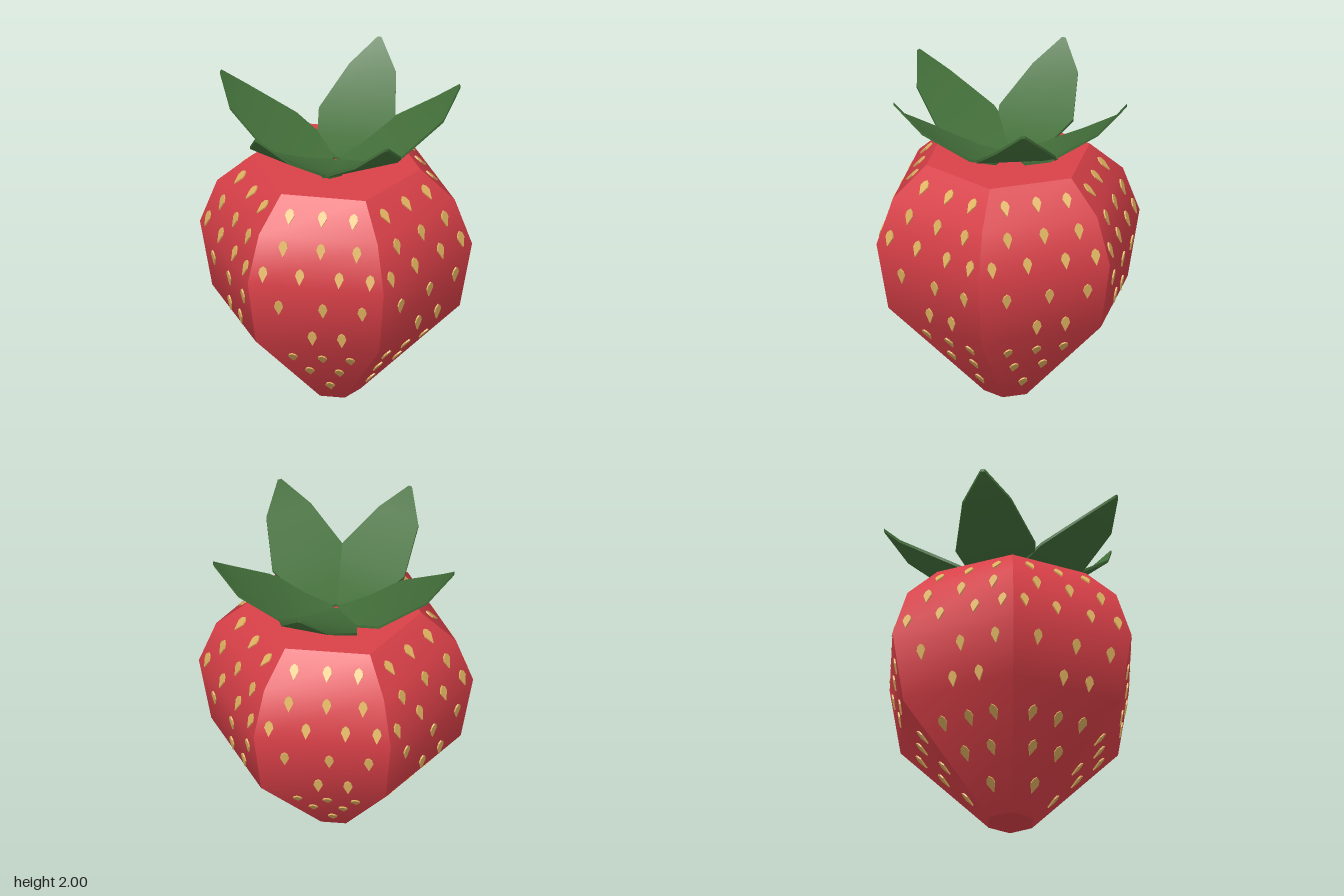
import * as THREE from 'three';

const red = new THREE.MeshStandardMaterial({ name: 'berry red', color: 0xd94048 });
const gold = new THREE.MeshStandardMaterial({ name: 'seed gold', color: 0xdfb260 });
const green = new THREE.MeshStandardMaterial({ name: 'leaf green', color: 0x436f3a });

// Berry profile: [corner radius, height]; the berry is a hexagon in plan
const PROFILE = [[0.15, 0], [0.755, 0.63], [0.83, 1.06], [0.725, 1.35], [0.515, 1.54]];
const APOTHEM = Math.cos(Math.PI / 6);

// Seed rows on each side: height, then positions across the side
const SEED_ROWS = [
  [1.44, [-0.19, 0.01, 0.2]],
  [1.28, [-0.21, 0.02, 0.24]],
  [1.12, [-0.325, -0.1, 0.14, 0.33]],
  [0.9, [-0.23, 0.04, 0.28]],
  [0.69, [-0.03, 0.15]],
  [0.48, [-0.17, 0.01, 0.18]],
  [0.32, [-0.09, 0.09]],
  [0.15, [0.01]],
];

// Leaf stations: [distance from centre, half width, height of underside]
const LEAF = [
  [0.018, 0.014, 1.54], [0.17, 0.185, 1.575], [0.36, 0.245, 1.655],
  [0.63, 0.15, 1.835], [0.752, 0.012, 1.985],
];
const LEAF_ANGLES = [180, 107.3, 19.5, -42, -116.6];

function add(parent, name, geometry, material) {
  const mesh = new THREE.Mesh(geometry, material);
  mesh.name = name;
  parent.add(mesh);
  return mesh;
}

// One side of the berry: smooth up the profile, sharp at its borders
function sideGeometry() {
  const positions = [], index = [];
  PROFILE.forEach(([r, y], i) => {
    positions.push(-r / 2, y, r * APOTHEM, r / 2, y, r * APOTHEM);
    const a = i * 2;
    if (i < PROFILE.length - 1) index.push(a, a + 1, a + 3, a, a + 3, a + 2);
  });
  const g = new THREE.BufferGeometry();
  g.setAttribute('position', new THREE.Float32BufferAttribute(positions, 3));
  g.setIndex(index);
  g.computeVertexNormals();
  return g;
}

// Thin pointed seed plate
function seedGeometry() {
  const outline = [[0, 0.052], [-0.02, 0.036], [-0.028, 0.008], [0, -0.052], [0.028, 0.008], [0.02, 0.036]];
  const shape = new THREE.Shape(outline.map(([x, y]) => new THREE.Vector2(x, y)));
  return new THREE.ExtrudeGeometry(shape, { depth: 0.009, bevelEnabled: false });
}

// A box bent through the leaf stations
function leafGeometry() {
  const n = LEAF.length - 1;
  const g = new THREE.BoxGeometry(2, 1, 1, 2, 1, n);
  const p = g.attributes.position;
  for (let i = 0; i < p.count; i++) {
    const [along, half, y] = LEAF[Math.round((p.getZ(i) + 0.5) * n)];
    p.setXYZ(i, p.getX(i) * half, y + (p.getY(i) > 0 ? 0.018 : 0), along);
  }
  g.computeVertexNormals();
  return g;
}

export function createModel() {
  const model = new THREE.Group();
  model.name = 'strawberry';

  // Six sides, each with its seeds
  const side = sideGeometry(), seed = seedGeometry();
  for (let k = 0; k < 6; k++) {
    const panel = new THREE.Group();
    panel.name = 'berrySide';
    panel.rotation.y = k * Math.PI / 3;
    add(panel, 'berrySkin', side, red);
    for (const [y, xs] of SEED_ROWS) {
      const i = PROFILE.findIndex(([, top]) => top > y);
      const [r0, y0] = PROFILE[i - 1], [r1, y1] = PROFILE[i];
      const r = r0 + (r1 - r0) * (y - y0) / (y1 - y0);
      for (const x of xs) {
        const s = add(panel, 'seed', seed, gold);
        s.position.set(x, y, r * APOTHEM);
        s.rotation.x = Math.atan2((r1 - r0) * APOTHEM, y1 - y0);
      }
    }
    model.add(panel);
  }

  // Flat ends of the berry
  const top = add(model, 'berryTop', new THREE.CircleGeometry(0.515, 6), red);
  top.rotation.x = -Math.PI / 2;
  top.position.y = 1.54;
  const tip = add(model, 'berryTip', new THREE.CircleGeometry(0.15, 6), red);
  tip.rotation.x = Math.PI / 2;

  // Crown of five leaves
  const crown = new THREE.Group();
  crown.name = 'leafCrown';
  crown.position.set(0.015, 0, -0.01);
  const leaf = leafGeometry();
  for (const angle of LEAF_ANGLES) {
    add(crown, 'leaf', leaf, green).rotation.y = THREE.MathUtils.degToRad(angle + 90);
  }
  model.add(crown);
  return model;
}
